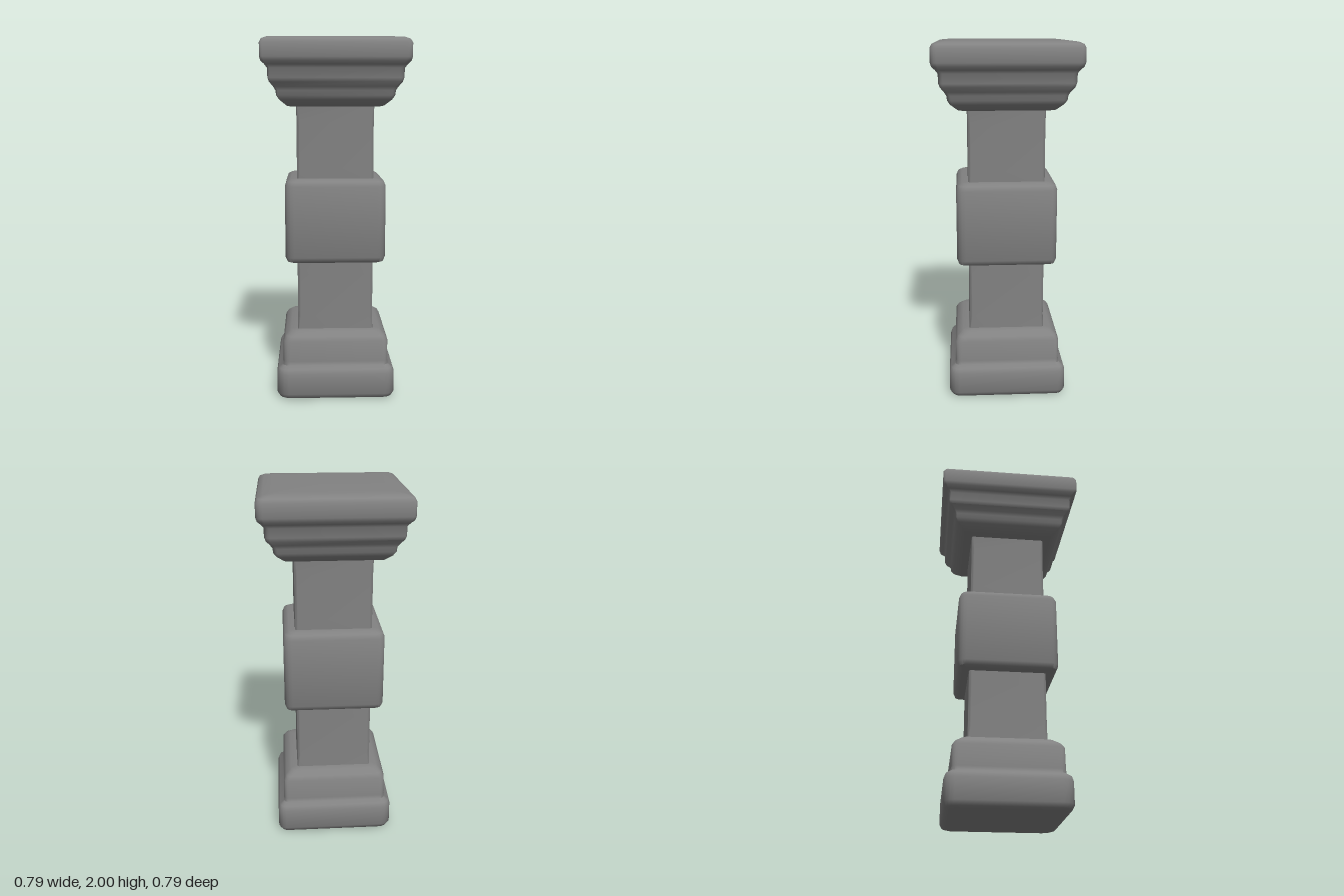
import * as THREE from 'three';
import { toCreasedNormals } from 'three/addons/utils/BufferGeometryUtils.js';

const STEPS = 5; // points on each rounded corner
const stone = new THREE.MeshStandardMaterial({ color: 0x828282 });

// Square ring with worn corners; wear scales the radius of each corner,
// in the order front left, front right, back right, back left
function ring(half, y, radius, wear) {
  const points = [];
  for (let corner = 0; corner < 4; corner++) {
    const r = radius * wear[corner];
    const sx = corner === 0 || corner === 3 ? 1 : -1;
    const sz = corner < 2 ? 1 : -1;
    for (let i = 0; i < STEPS; i++) {
      const a = (corner + i / (STEPS - 1)) * Math.PI / 2;
      points.push([sx * (half - r) + r * Math.cos(a), y, sz * (half - r) + r * Math.sin(a)]);
    }
  }
  return points;
}

// Block lofted through rings of [half width, height, corner radius], closed at both ends
function block(name, profile, wear = [1, 1, 1, 1]) {
  const rings = profile.map(([half, y, r]) => ring(half, y, r, wear));
  const n = STEPS * 4;
  const last = rings.length - 1;
  const positions = rings.flat(2);
  const index = [];
  for (let j = 0; j < last; j++) {
    for (let i = 0; i < n; i++) {
      const k = (i + 1) % n;
      const a = j * n + i, b = j * n + k;
      index.push(a, a + n, b, b, a + n, b + n);
    }
  }
  const bottom = rings.length * n;
  positions.push(0, profile[0][1], 0, 0, profile[last][1], 0);
  for (let i = 0; i < n; i++) {
    const k = (i + 1) % n;
    index.push(bottom, i, k, bottom + 1, last * n + k, last * n + i);
  }
  const geometry = new THREE.BufferGeometry();
  geometry.setAttribute('position', new THREE.Float32BufferAttribute(positions, 3));
  geometry.setIndex(index);
  const mesh = new THREE.Mesh(toCreasedNormals(geometry, 0.85), stone);
  mesh.name = name;
  return mesh;
}

export function createModel() {
  const pillar = new THREE.Group();
  pillar.name = 'pillar';

  // Two-step plinth
  pillar.add(block('base', [
    [0.26, 0.004, 0.04], [0.295, 0.006, 0.05], [0.318, 0.015, 0.055], [0.33, 0.04, 0.055],
    [0.33, 0.155, 0.055], [0.32, 0.182, 0.045], [0.297, 0.198, 0.035],
    [0.293, 0.22, 0.03], [0.293, 0.335, 0.035], [0.28, 0.36, 0.04],
    [0.25, 0.384, 0.04], [0.2, 0.388, 0.03],
  ], [1, 1.2, 1, 0.8]));

  // Square shaft running from base to capital
  pillar.add(block('shaft', [
    [0.213, 0.37, 0.012], [0.211, 0.46, 0.016], [0.211, 0.7, 0.016],
    [0.213, 1, 0.012], [0.211, 1.3, 0.016], [0.211, 1.55, 0.016], [0.213, 1.65, 0.012],
  ]));

  // Thick block around the middle of the shaft
  pillar.add(block('middleBlock', [
    [0.2, 0.773, 0.015], [0.245, 0.776, 0.025], [0.266, 0.784, 0.035], [0.277, 0.81, 0.045],
    [0.277, 1.203, 0.045], [0.267, 1.23, 0.045], [0.245, 1.241, 0.035], [0.2, 1.244, 0.02],
  ], [1.1, 1.1, 1, 1]));

  // Stepped capital widening to a flat slab
  pillar.add(block('capital', [
    [0.2, 1.634, 0.015], [0.24, 1.635, 0.02], [0.262, 1.64, 0.025], [0.3, 1.672, 0.025],
    [0.315, 1.695, 0.025], [0.318, 1.72, 0.025], [0.33, 1.74, 0.025],
    [0.35, 1.765, 0.025], [0.357, 1.785, 0.03], [0.359, 1.835, 0.03],
    [0.372, 1.853, 0.03], [0.39, 1.87, 0.04], [0.396, 1.89, 0.04],
    [0.396, 1.962, 0.04], [0.386, 1.982, 0.04], [0.36, 1.993, 0.035],
    [0.31, 1.998, 0.03], [0.24, 2, 0.025],
  ], [0.8, 0.4, 0.4, 0.9]));

  return pillar;
}
